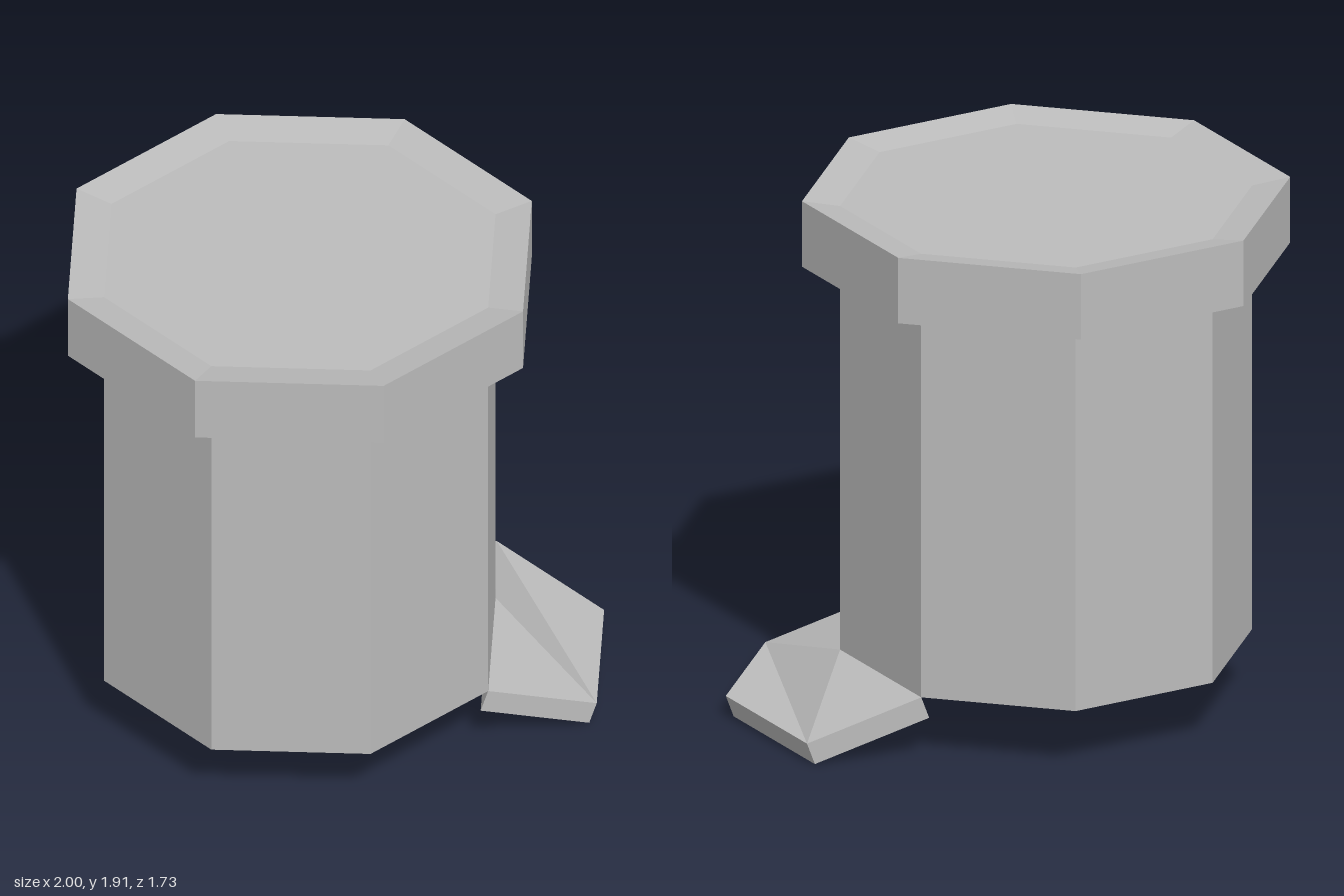
import * as THREE from 'three';

const CENTER_X = -0.135;
const BODY_R = 0.73, LID_R = 0.865;
const BODY_BOTTOM = 0.23, BODY_TOP = 1.67, LID_TOP = 1.915;

// Eight-sided shell swept from [radius, height] points, corners on the axes
function octagonShell(name, profile, material) {
  const points = profile.map(([r, y]) => new THREE.Vector2(r, y));
  const geometry = new THREE.LatheGeometry(points, 8).toNonIndexed();
  geometry.computeVertexNormals();
  const mesh = new THREE.Mesh(geometry, material);
  mesh.name = name;
  mesh.position.x = CENTER_X;
  return mesh;
}

// Sloping chevron slab that follows two sides of the body
function createPedal(material) {
  const halfWidth = 0.516, inner = 0.381, tip = 0.214, reach = 0.405;
  const shape = new THREE.Shape([
    [inner, -halfWidth], [inner + reach, -halfWidth], [inner + reach + tip, 0],
    [inner + reach, halfWidth], [inner, halfWidth], [inner + tip, 0],
  ].map(([x, z]) => new THREE.Vector2(x, -z)));
  const geometry = new THREE.ExtrudeGeometry(shape, { depth: 1, bevelEnabled: false });
  geometry.rotateX(-Math.PI / 2);
  // Drop the outer edge and lean the ends with the slope
  const p = geometry.attributes.position;
  for (let i = 0; i < p.count; i++) {
    const x = p.getX(i), under = p.getY(i) < 0.5;
    const edge = inner + tip * (1 - Math.abs(p.getZ(i)) / halfWidth);
    const outward = (x - edge) / reach;
    p.setX(i, x - (under ? 0.028 : 0));
    p.setY(i, BODY_BOTTOM - 0.152 * outward - (under ? 0.078 : 0));
  }
  geometry.computeVertexNormals();
  const mesh = new THREE.Mesh(geometry, material);
  mesh.name = 'pedal';
  return mesh;
}

export function createModel() {
  const grey = new THREE.MeshStandardMaterial({
    color: 0xbcbcbc, flatShading: true, side: THREE.DoubleSide,
  });
  grey.name = 'light grey';

  const model = new THREE.Group();
  model.name = 'pedalBin';
  model.add(
    // Hollow body, open underneath
    octagonShell('body', [[BODY_R, BODY_BOTTOM], [BODY_R, BODY_TOP]], grey),
    // Overhanging lid with a slightly sunken top
    octagonShell('lid', [
      [BODY_R, BODY_TOP], [LID_R, BODY_TOP], [LID_R, LID_TOP],
      [BODY_R, LID_TOP - 0.025], [0, LID_TOP - 0.025],
    ], grey),
    createPedal(grey),
  );
  return model;
}
